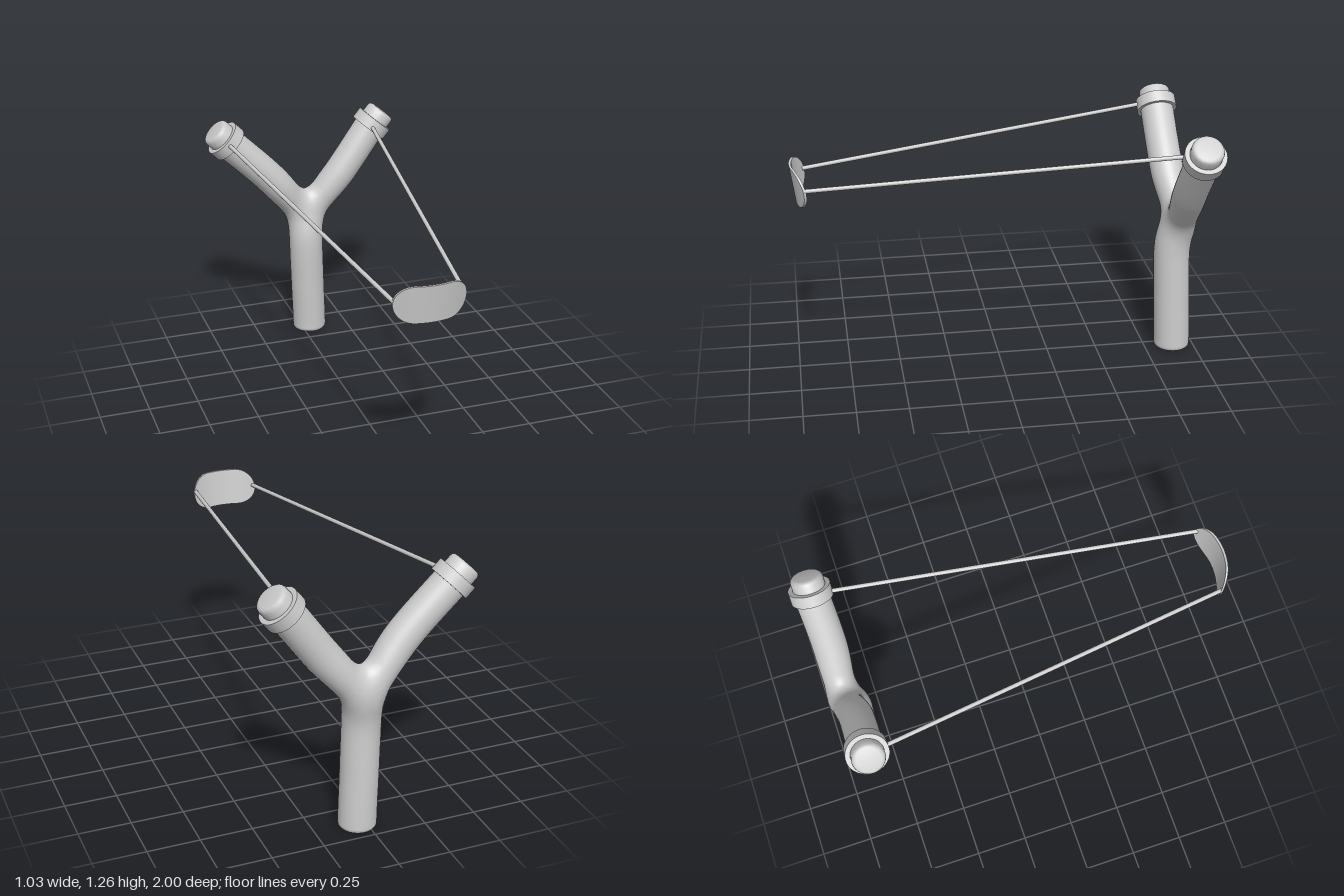
import * as THREE from 'three';
import { mergeGeometries, toCreasedNormals } from 'three/addons/utils/BufferGeometryUtils.js';

const V = (x, y, z) => new THREE.Vector3(x, y, z);
const UP = V(0, 1, 0);
const BLEND = 0.1; // softness of the crotch between the two arms

// Each limb runs from the foot of the handle to an arm tip
const foot = [V(0.042, -0.1, -0.89), V(0.042, 0.03, -0.89), V(0.032, 0.3, -0.88), V(0.025, 0.55, -0.875)];
const sides = {
  left: {
    sign: 1, axis: V(0.64, 0.77, 0).normalize(), collar: V(0.41, 1.148, -0.9),
    path: [...foot, V(0.075, 0.7, -0.9), V(0.235, 0.91, -0.892), V(0.41, 1.148, -0.9), V(0.48, 1.235, -0.9)],
    cord: [V(0.385, 1.153, -0.81), V(0.185, 1.005, 0.935)],
  },
  right: {
    sign: -1, axis: V(-0.7, 0.7, 0).normalize(), collar: V(-0.4, 1.148, -0.873),
    path: [...foot, V(-0.01, 0.7, -0.9), V(-0.145, 0.89, -0.875), V(-0.4, 1.148, -0.873), V(-0.48, 1.23, -0.873)],
    cord: [V(-0.403, 1.153, -0.785), V(-0.135, 1.0, 0.935)],
  },
};

// Distance to a limb: a dense polyline with a radius at each point
function limbDistance(path) {
  const pts = new THREE.CatmullRomCurve3(path).getPoints(60);
  const rad = pts.map((p) => THREE.MathUtils.lerp(0.065, 0.083, THREE.MathUtils.smoothstep(p.y, 0.6, 0.9)));
  const ab = V(), ap = V();
  return (p) => {
    let best = Infinity;
    for (let i = 0; i < pts.length - 1; i++) {
      ab.subVectors(pts[i + 1], pts[i]);
      ap.subVectors(p, pts[i]);
      const t = THREE.MathUtils.clamp(ap.dot(ab) / ab.lengthSq(), 0, 1);
      const d = ap.addScaledVector(ab, -t).length() - THREE.MathUtils.lerp(rad[i], rad[i + 1], t);
      best = Math.min(best, d);
    }
    return best;
  };
}
const dLeft = limbDistance(sides.left.path), dRight = limbDistance(sides.right.path);
function forkDistance(p) {
  const a = dLeft(p), b = dRight(p), h = Math.max(BLEND - Math.abs(a - b), 0);
  return Math.min(a, b) - (h * h) / (4 * BLEND);
}
function gradient(p, e = 0.006) {
  const g = ['x', 'y', 'z'].map((k) => {
    const q = p.clone(), r = p.clone();
    q[k] += e;
    r[k] -= e;
    return forkDistance(q) - forkDistance(r);
  });
  return V(...g).normalize();
}

// A half-tube over a list of {centre, side} stations, settled onto the blended fork
function sheet(stations, n = 20) {
  const pos = [], nor = [], idx = [];
  stations.forEach(({ c, side }, i) => {
    for (let j = 0; j <= n; j++) {
      const a = (j / n) * Math.PI;
      const p = c.clone().addScaledVector(side, 0.09 * Math.sin(a));
      p.z += 0.09 * Math.cos(a);
      for (let k = 0; k < 5; k++) p.addScaledVector(gradient(p), -forkDistance(p));
      pos.push(...p);
      nor.push(...gradient(p));
      if (i < stations.length - 1 && j < n) {
        const q = i * (n + 1) + j, r = q + n + 1;
        idx.push(q, r, q + 1, q + 1, r, r + 1);
      }
    }
  });
  const g = new THREE.BufferGeometry();
  g.setAttribute('position', new THREE.Float32BufferAttribute(pos, 3));
  g.setAttribute('normal', new THREE.Float32BufferAttribute(nor, 3));
  return g.setIndex(idx);
}

// Handle and arms: two outer sheets, and an inner one running arm to arm over the crotch
function forkGeometry() {
  const joint = V(0.035, 0.7, -0.893);
  const handle = (sign) => Array.from({ length: 24 }, (_, i) => ({
    c: V(0.042, 0.02, -0.89).lerp(joint, i / 24), side: V(sign, 0, 0),
  }));
  const arm = ({ sign, axis, collar }, inner) => Array.from({ length: 31 }, (_, i) => {
    const c = joint.clone().lerp(collar, i / 30);
    const w = Math.min(1, c.distanceTo(joint) / 0.2);
    const start = inner ? V(0, 1, 0) : V(sign, 0, 0);
    const end = V(axis.y, -axis.x, 0).multiplyScalar(inner === (axis.x > 0) ? -1 : 1);
    return { c, side: start.lerp(end, w).normalize() };
  });
  const { left, right } = sides;
  return mergeGeometries([
    sheet([...handle(-1), ...arm(right, false)]),
    sheet([...handle(1), ...arm(left, false)].reverse()),
    sheet([...arm(right, true).reverse(), ...arm(left, true).slice(1)]),
  ]);
}

// Rounded stadium patch, cupped around its middle and leaning forward
function pouchGeometry() {
  const g = new THREE.BoxGeometry(2, 2, 0.012, 32, 12, 1);
  const p = g.attributes.position;
  for (let i = 0; i < p.count; i++) {
    const x = 0.17 * Math.sin((p.getX(i) * Math.PI) / 2);
    const over = Math.max(Math.abs(x) - 0.078, 0) / 0.092;
    const y = 0.092 * p.getY(i) * Math.sqrt(Math.max(1 - over * over, 0.0004));
    p.setXYZ(i, x, y, p.getZ(i) - 0.05 * (x / 0.17) ** 2 + 0.14 * y);
  }
  return toCreasedNormals(g, 0.7);
}

export function createModel() {
  const model = new THREE.Group();
  const mat = new THREE.MeshStandardMaterial({ color: 0xcccccc });
  const thin = new THREE.MeshStandardMaterial({ color: 0xcccccc, side: THREE.DoubleSide });
  const add = (name, geo, at = V(0, 0, 0), dir = UP, material = mat) => {
    const m = new THREE.Mesh(geo, material);
    m.name = name;
    m.position.copy(at);
    m.quaternion.setFromUnitVectors(UP, dir);
    model.add(m);
  };
  const lathe = (pts) => toCreasedNormals(
    new THREE.LatheGeometry(pts.map(([x, y]) => new THREE.Vector2(x, y)), 40), 0.8);

  add('fork', forkGeometry());
  add('handleFoot', lathe([[0, 0], [0.074, 0], [0.084, 0.004], [0.089, 0.011], [0.09, 0.022]]), V(0.042, 0, -0.89));

  // Tips, collars and elastic cords on both arms
  for (const [name, { axis, collar, cord }] of Object.entries(sides)) {
    add(name + 'Tip', lathe([[0.077, 0], [0.077, 0.07], [0.074, 0.079], [0.066, 0.086], [0.056, 0.088], [0, 0.088]]), collar, axis);
    add(name + 'Collar', new THREE.CylinderGeometry(0.1, 0.1, 0.06, 40), collar, axis);
    const span = cord[1].clone().sub(cord[0]);
    add(name + 'Cord', new THREE.CylinderGeometry(0.0105, 0.0105, span.length(), 12),
      cord[0].clone().add(cord[1]).multiplyScalar(0.5), span.normalize());
  }

  add('pouch', pouchGeometry(), V(0.025, 0.993, 0.98), UP, thin);
  return model;
}
